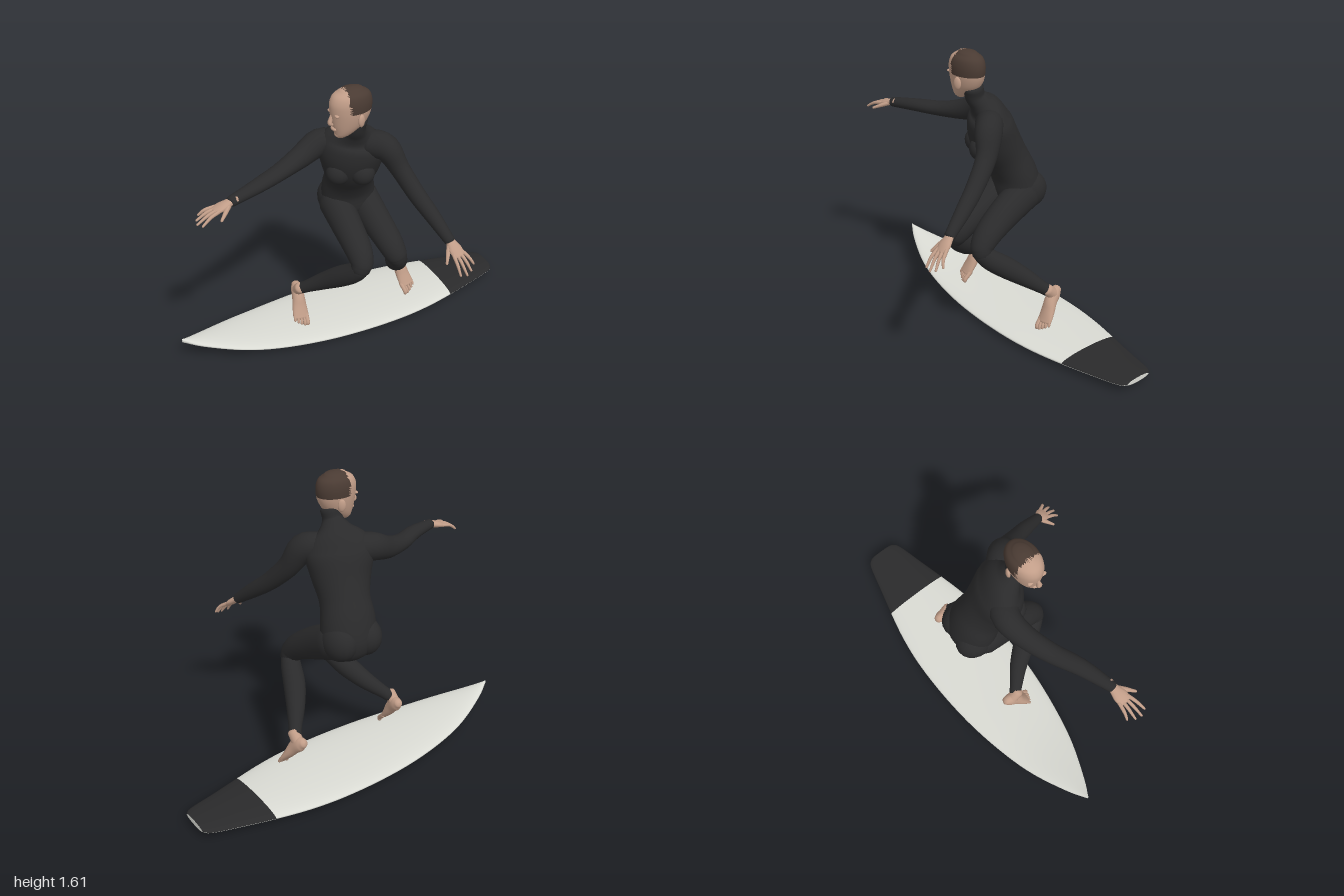
import * as THREE from 'three';

const paint = (name, color) => Object.assign(new THREE.MeshStandardMaterial({ color }), { name });
const suit = paint('black wetsuit', 0x2a2a2b);
const skin = paint('skin', 0xc19d88);
const hair = paint('brown hair', 0x4a3b33);
const white = paint('board white', 0xd9dad3);

const Z = Math.PI / 2; // ring turn that lays the width along z

// Smooth loft through rows [x, y, z, halfWidth, halfDepth, turn]; both ends are domed.
function loft(rows, { sides = 20, steps = 4, cap = 0.6, axis = null } = {}) {
  const path = new THREE.CatmullRomCurve3(rows.map(r => new THREE.Vector3(r[0], r[1], r[2])), false, 'catmullrom');
  const size = new THREE.CatmullRomCurve3(rows.map(r => new THREE.Vector3(r[3], r[4], r[5] || 0)), false, 'catmullrom');
  const count = (rows.length - 1) * steps;
  const pos = [];
  const index = [];
  const ring = (u, scale, shift) => {
    const q = size.getPoint(u);
    const t = axis ? axis.clone() : path.getTangent(u);
    const s = new THREE.Vector3(Math.cos(q.z), 0, Math.sin(q.z));
    s.addScaledVector(t, -s.dot(t)).normalize();
    const n = t.clone().cross(s);
    const c = path.getPoint(u).addScaledVector(t, shift * Math.min(q.x, q.y) * cap);
    for (let j = 0; j < sides; j++) {
      const a = (j / sides) * Math.PI * 2;
      const p = c.clone().addScaledVector(s, Math.cos(a) * q.x * scale).addScaledVector(n, Math.sin(a) * q.y * scale);
      pos.push(p.x, p.y, p.z);
    }
  };
  const dome = [1, 0.67, 0.33].map(k => k * Math.PI / 2);
  dome.forEach(a => ring(0, Math.max(0, Math.cos(a)), -Math.sin(a)));
  for (let i = 0; i <= count; i++) ring(i / count, 1, 0);
  [...dome].reverse().forEach(a => ring(1, Math.max(0, Math.cos(a)), Math.sin(a)));
  for (let i = 0; i < count + 6; i++) {
    for (let j = 0; j < sides; j++) {
      const a = i * sides + j, b = i * sides + (j + 1) % sides;
      index.push(a, b, a + sides, b, b + sides, a + sides);
    }
  }
  const geo = new THREE.BufferGeometry();
  geo.setAttribute('position', new THREE.Float32BufferAttribute(pos, 3));
  geo.setIndex(index);
  geo.computeVertexNormals();
  return geo;
}

// Sort faces into two material groups by a test on face centre and normal.
function splitFaces(geo, test) {
  const p = geo.attributes.position, idx = geo.index.array, lists = [[], []];
  const tri = new THREE.Triangle(), mid = new THREE.Vector3(), normal = new THREE.Vector3();
  for (let i = 0; i < idx.length; i += 3) {
    tri.setFromAttributeAndIndices(p, idx[i], idx[i + 1], idx[i + 2]);
    tri.getMidpoint(mid);
    tri.getNormal(normal);
    lists[test(mid, normal) ? 1 : 0].push(idx[i], idx[i + 1], idx[i + 2]);
  }
  geo.setIndex([...lists[0], ...lists[1]]);
  geo.addGroup(0, lists[0].length, 0);
  geo.addGroup(lists[0].length, lists[1].length, 1);
  return geo;
}

function add(parent, name, geo, mat) {
  const mesh = new THREE.Mesh(geo, mat);
  mesh.name = name;
  parent.add(mesh);
  return mesh;
}

function ball(parent, name, mat, at, scale, turn = 0) {
  const mesh = add(parent, name, new THREE.SphereGeometry(1, 20, 14), mat);
  mesh.position.set(...at);
  mesh.scale.set(...scale);
  mesh.rotation.y = turn;
}

// Group whose local +z runs along dir and local +y close to up.
function aimed(parent, name, at, dir, up) {
  const g = new THREE.Group();
  g.name = name;
  const z = new THREE.Vector3(...dir).normalize();
  const x = new THREE.Vector3(...up).cross(z).normalize();
  g.quaternion.setFromRotationMatrix(new THREE.Matrix4().makeBasis(x, z.clone().cross(x), z));
  g.position.set(...at);
  parent.add(g);
  return g;
}

// Hand: palm, four spread fingers and a thumb on the given side.
function hand(parent, name, at, dir, up, side) {
  const g = aimed(parent, name, at, dir, up);
  add(g, 'palm', loft([[0, 0, -0.03, 0.025, 0.023], [0, 0, 0.01, 0.027, 0.019],
    [0, 0, 0.055, 0.038, 0.017], [0, -0.002, 0.095, 0.036, 0.012]], { sides: 14 }), skin);
  [0.165, 0.19, 0.2, 0.185].forEach((len, i) => {
    const k = (1.5 - i) * -side;
    add(g, 'finger', loft([[k * 0.019, 0, 0.08, 0.01, 0.01], [k * 0.027, 0.002, 0.13, 0.009, 0.009],
      [k * 0.034, -0.014, len, 0.006, 0.006]], { sides: 8, steps: 3, cap: 1 }), skin);
  });
  add(g, 'thumb', loft([[side * 0.015, -0.004, 0.02, 0.015, 0.013], [side * 0.046, -0.01, 0.055, 0.012, 0.011],
    [side * 0.078, -0.018, 0.095, 0.007, 0.007]], { sides: 8, steps: 3, cap: 1 }), skin);
}

// Foot: ankle, sole and five toes, big toe on the given side.
function foot(parent, name, at, dir, side) {
  const g = aimed(parent, name, at, dir, [0, 0.69, 0.72]);
  add(g, 'ankle', loft([[0, 0.035, 0, 0.031, 0.032], [0, 0, 0, 0.032, 0.034], [0, -0.04, 0, 0.032, 0.036]], { sides: 14 }), skin);
  add(g, 'instep', loft([[0, -0.042, -0.04, 0.024, 0.026], [0, -0.035, -0.01, 0.033, 0.04], [0, -0.036, 0.04, 0.036, 0.037],
    [0, -0.048, 0.09, 0.042, 0.027], [0, -0.058, 0.14, 0.046, 0.017], [0, -0.061, 0.16, 0.042, 0.013]], { sides: 16 }), skin);
  [0.212, 0.21, 0.202, 0.192, 0.18].forEach((len, i) => {
    const x = side * (0.034 - i * 0.0175), r = i ? 0.0085 : 0.013;
    add(g, 'toe', loft([[x, -0.06, 0.14, r, r], [x, -0.06, len - 0.025, r, r], [x, -0.066, len - r, r, r * 0.9]],
      { sides: 8, steps: 3, cap: 1 }), skin);
  });
}

function makeBoard(root) {
  // x, middle height, half thickness, half width
  const rows = [[-1, 0.142, 0.012, 0.004], [-0.9, 0.11, 0.02, 0.06], [-0.7, 0.07, 0.026, 0.145], [-0.5, 0.047, 0.029, 0.2],
    [-0.25, 0.036, 0.032, 0.243], [0, 0.0325, 0.0325, 0.262], [0.25, 0.0325, 0.0325, 0.26], [0.45, 0.033, 0.031, 0.237],
    [0.635, 0.035, 0.029, 0.197], [0.8, 0.04, 0.025, 0.155], [0.96, 0.049, 0.019, 0.113], [1, 0.054, 0.015, 0.08]]
    .map(([x, y, thick, wide]) => [x, y, -0.29, wide, thick, Z]);
  const geo = loft(rows, { sides: 40, cap: 0, axis: new THREE.Vector3(1, 0, 0) });
  // black grip pad on top of the tail
  add(root, 'surfboard', splitFaces(geo, (c, n) => c.x > 0.635 && n.y > 0.2), [white, suit]);
}

function makeHead(root) {
  const head = new THREE.Group();
  head.name = 'head';
  root.add(head);
  // height, middle x, half depth, half width
  const rows = [[1.35, -0.128, 0.025, 0.02], [1.363, -0.118, 0.043, 0.036], [1.388, -0.102, 0.065, 0.052],
    [1.42, -0.085, 0.09, 0.065], [1.46, -0.076, 0.105, 0.075], [1.5, -0.073, 0.113, 0.08], [1.54, -0.072, 0.113, 0.08],
    [1.575, -0.07, 0.098, 0.07], [1.597, -0.068, 0.065, 0.047]].map(([y, x, d, w]) => [x, y, -0.018, w, d, Z]);
  const skull = loft(rows, { sides: 32, cap: 0.3, axis: new THREE.Vector3(0, 1, 0) });
  add(head, 'skull', splitFaces(skull, c => c.y > 1.49 && c.x > -0.108), [skin, hair]);
  add(head, 'nose', loft([[-0.174, 1.482, -0.018, 0.008, 0.01, Z], [-0.185, 1.455, -0.018, 0.011, 0.011, Z],
    [-0.19, 1.436, -0.018, 0.015, 0.011, Z], [-0.178, 1.426, -0.018, 0.012, 0.008, Z]], { sides: 12 }), skin);
  ball(head, 'lips', skin, [-0.168, 1.402, -0.018], [0.014, 0.011, 0.024]);
  ball(head, 'chin', skin, [-0.142, 1.366, -0.018], [0.022, 0.018, 0.024]);
  for (const s of [-1, 1]) {
    ball(head, 'ear', skin, [-0.052, 1.453, -0.018 + s * 0.08], [0.021, 0.034, 0.012], s * 0.4);
    ball(head, 'brow', skin, [-0.164, 1.486, -0.018 + s * 0.03], [0.014, 0.009, 0.026], -s * 0.35);
  }
}

function makeTorso(root) {
  // the trunk leans forward and twists towards the shoulders
  add(root, 'torso', loft([[0.035, 0.72, -0.275, 0.115, 0.09, 0.15], [0.035, 0.79, -0.28, 0.15, 0.13, 0.15],
    [0.025, 0.9, -0.262, 0.147, 0.122, 0.2], [0.012, 1.0, -0.215, 0.135, 0.12, 0.3], [-0.008, 1.11, -0.155, 0.16, 0.132, 0.45],
    [-0.018, 1.21, -0.125, 0.18, 0.122, 0.52], [-0.02, 1.28, -0.105, 0.155, 0.09, 0.52], [-0.028, 1.33, -0.07, 0.085, 0.062, 0.52],
    [-0.035, 1.37, -0.04, 0.054, 0.054, 0.6], [-0.03, 1.42, -0.025, 0.052, 0.052, 0.8]], { sides: 32, cap: 0.3 }), suit);
  for (const s of [-1, 1]) {
    ball(root, 'bust', suit, [-0.05 + s * 0.056, 1.085, -0.075 + s * 0.03], [0.066, 0.066, 0.062], -0.45);
    ball(root, 'buttock', suit, [0.035 + s * 0.07, 0.81, -0.305 + s * 0.008], [0.093, 0.107, 0.112]);
  }
}

function makeLimbs(root) {
  // thigh and shin share side profiles; x differs per leg
  const thigh = [[0.8, -0.27, 0.1], [0.73, -0.13, 0.092], [0.655, 0, 0.076], [0.6, 0.06, 0.065], [0.562, 0.075, 0.054]];
  const shin = [[0.563, 0.075, 0.05], [0.515, 0.03, 0.057], [0.455, -0.05, 0.06], [0.385, -0.14, 0.05], [0.322, -0.215, 0.036], [0.3, -0.243, 0.034]];
  const legs = [
    ['right', [-0.05, -0.05, -0.048, -0.052, -0.065], [-0.065, -0.09, -0.13, -0.19, -0.26, -0.285], [-0.298, 0.285, -0.26], [-0.12, -0.7, 0.69], 1],
    ['left', [0.11, 0.12, 0.138, 0.152, 0.165], [0.165, 0.185, 0.22, 0.275, 0.33, 0.348], [0.355, 0.285, -0.26], [0.18, -0.7, 0.69], -1]];
  for (const [name, tx, sx, ankle, dir, inner] of legs) {
    add(root, name + 'Thigh', loft(thigh.map(([y, z, r], i) => [tx[i], y, z, i < 2 ? r * 0.92 : r, r]), { cap: 0.8 }), suit);
    add(root, name + 'Shin', loft(shin.map(([y, z, r], i) => [sx[i], y, z, r, r]), { cap: 0.8 }), suit);
    foot(root, name + 'Foot', ankle, dir, inner);
  }
  // right arm reaches sideways, left arm reaches forward and down
  add(root, 'rightArm', loft([[-0.08, 1.235, -0.155, 0.08, 0.075], [-0.17, 1.235, -0.2, 0.072, 0.075], [-0.29, 1.19, -0.178, 0.06, 0.06],
    [-0.43, 1.163, -0.125, 0.052, 0.043], [-0.57, 1.158, -0.06, 0.045, 0.036], [-0.74, 1.143, -0.002, 0.029, 0.028]]
    .map(r => [...r, Z])), suit);
  add(root, 'leftArm', loft([[0.06, 1.245, -0.06, 0.075, 0.075], [0.125, 1.225, 0, 0.07, 0.078], [0.175, 1.12, 0.055, 0.052, 0.06],
    [0.22, 1.005, 0.16, 0.047, 0.05], [0.258, 0.92, 0.265, 0.041, 0.043], [0.295, 0.825, 0.385, 0.029, 0.029]]), suit);
  hand(root, 'rightHand', [-0.74, 1.143, -0.002], [-0.2, -0.05, 0.015], [0, 1, 0], 1);
  hand(root, 'leftHand', [0.295, 0.825, 0.385], [0.045, -0.13, 0.16], [0, 0.75, 0.65], -1);
}

export function createModel() {
  const root = new THREE.Group();
  root.name = 'surfer';
  makeBoard(root);
  makeTorso(root);
  makeHead(root);
  makeLimbs(root);
  return root;
}
